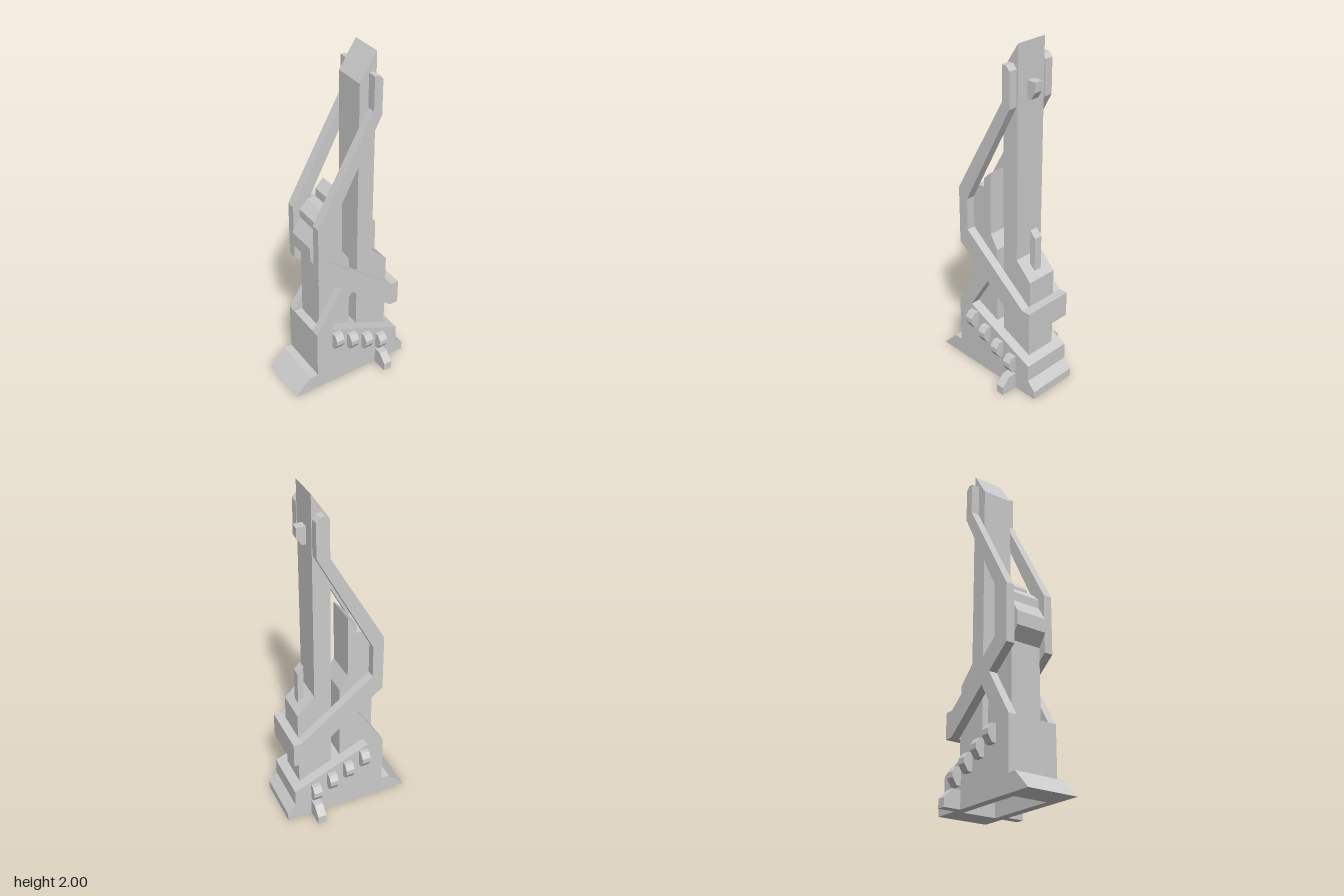
import * as THREE from 'three';

const material = new THREE.MeshStandardMaterial({ color: 0xcccccc, flatShading: true });

function extrude(points, depth) {
  const shape = new THREE.Shape(points.map(([x, y]) => new THREE.Vector2(x, y)));
  const g = new THREE.ExtrudeGeometry(shape, { depth, bevelEnabled: false });
  g.translate(0, 0, -depth / 2);
  return g;
}

export function createModel() {
  const group = new THREE.Group();
  const add = (name, geometry, x = 0, y = 0, z = 0) => {
    const mesh = new THREE.Mesh(geometry, material);
    mesh.name = name;
    mesh.position.set(x, y, z);
    group.add(mesh);
  };

  // Side plates: foot, sloped base, crossing strut and the long bent brace
  const plate = [
    [-0.372, 0], [-0.275, 0.1], [-0.225, 0.1], [-0.225, 0.4], [-0.06, 0.67],
    [-0.21, 0.785], [-0.21, 1.12], [0.122, 1.71], [0.122, 1.9], [0.15, 1.9],
    [0.172, 1.875], [0.172, 1.68], [-0.148, 1.07], [-0.148, 0.88],
    [0.273, 0.55], [0.323, 0.55], [0.323, 0.4], [0.273, 0.4], [0.005, 0.615],
    [-0.128, 0.4], [0.323, 0.2], [0.323, 0.1], [0.372, 0.05], [0.372, 0],
  ];
  for (const s of [1, -1]) add('sidePlate', extrude(plate, 0.05), 0, 0, s * 0.125);

  // Base between the plates, hollow underneath
  add('baseCore', extrude([
    [-0.372, 0], [-0.275, 0.1], [-0.225, 0.1], [-0.225, 0.4], [-0.128, 0.4],
    [0.323, 0.2], [0.323, 0.1], [0.372, 0.05], [0.372, 0],
    [0.22, 0], [0.22, 0.15], [-0.2, 0.15], [-0.2, 0],
  ], 0.2));

  // Clasp joining the two braces
  add('clasp', new THREE.BoxGeometry(0.05, 0.15, 0.2), 0.298, 0.475, 0);

  // Tall tower with slanted tip and flared foot
  add('mainTower', extrude([
    [0.074, 0.25], [0.074, 1.85], [0.172, 2], [0.172, 0.8], [0.273, 0.7], [0.273, 0.2],
  ], 0.184));

  // Shorter stepped tower
  add('rearTower', extrude([
    [-0.175, 0.35], [-0.175, 0.82], [-0.225, 0.89], [-0.225, 0.97], [-0.175, 1.05],
    [-0.175, 1.1], [-0.125, 1.15], [-0.075, 1.15], [-0.075, 1.2], [-0.026, 1.25],
    [-0.026, 0.88], [0.023, 0.8], [0.023, 0.3],
  ], 0.184));

  // Small fittings on the tall tower
  add('hook', extrude([
    [0.16, 1.7], [0.16, 1.8], [0.223, 1.8], [0.223, 1.745], [0.198, 1.705], [0.19, 1.7],
  ], 0.048));
  add('rod', extrude([[0.205, 0.75], [0.205, 0.97], [0.24, 0.93], [0.24, 0.72]], 0.048));

  // Teeth stepping down each flank, and a foot peg below them
  const tooth = [
    [0.14, -0.05], [0.175, -0.05], [0.2, -0.01], [0.2, 0.02], [0.178, 0.05], [0.14, 0.05],
  ];
  const peg = [[0.14, 0], [0.248, 0], [0.248, 0.05], [0.2, 0.1], [0.14, 0.1]];
  for (const s of [1, -1]) {
    const flank = (profile) =>
      extrude(profile.map(([z, y]) => [s * z, y]), 0.05).rotateY(-Math.PI / 2);
    for (let i = 0; i < 4; i++) add('tooth', flank(tooth), -0.1 + i * 0.1, 0.32 - i * 0.05, 0);
    add('footPeg', flank(peg), 0.2, 0, 0);
  }
  return group;
}
